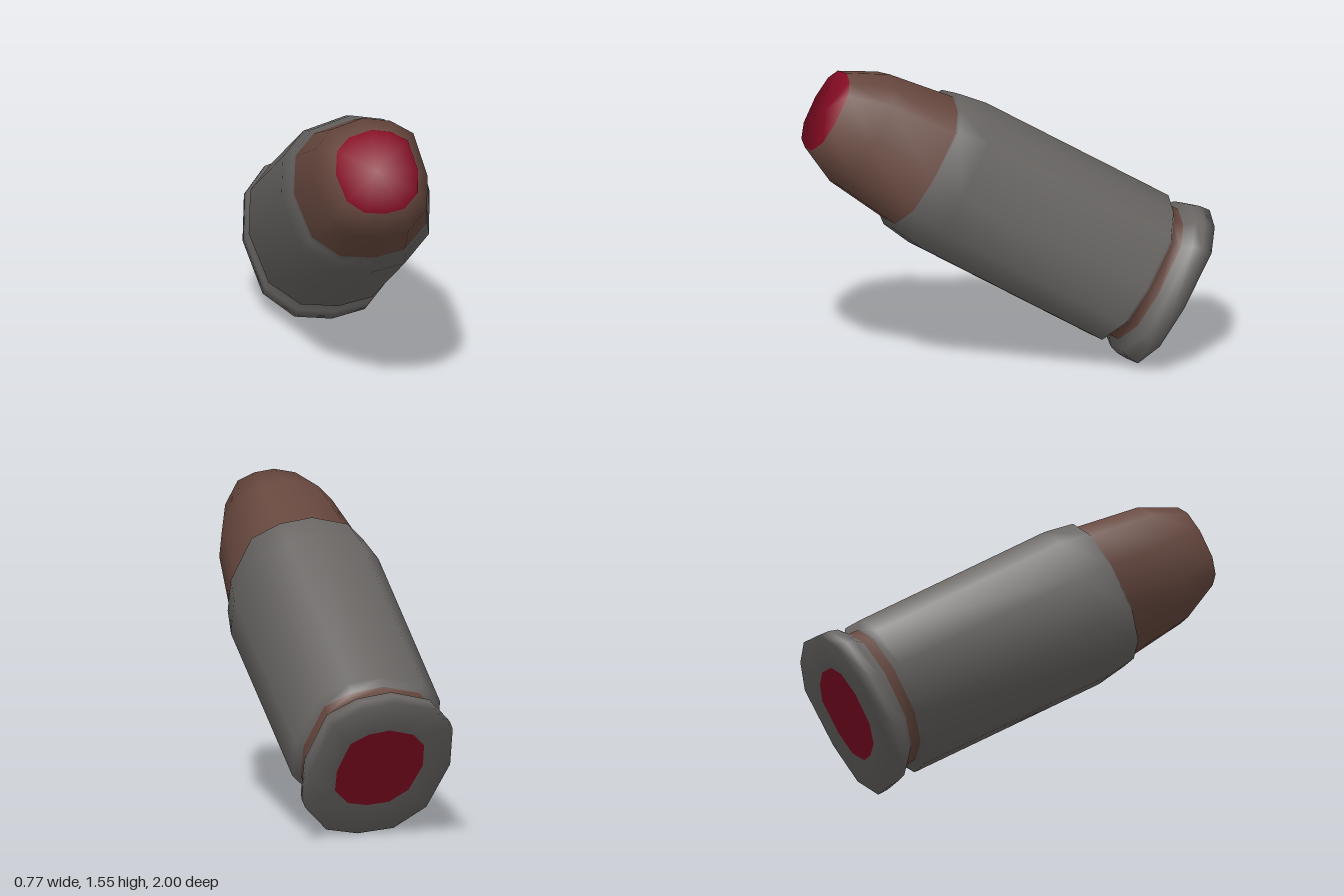
import * as THREE from 'three';

// Slightly irregular twelve-sided outline, counter-clockwise seen from the tip
const OUTLINE = [
  [0.357, 0], [0.285, 0.29], [0.145, 0.38], [-0.025, 0.407],
  [-0.23, 0.338], [-0.335, 0.21], [-0.356, -0.015], [-0.275, -0.275],
  [-0.128, -0.393], [0.052, -0.41], [0.215, -0.37], [0.342, -0.222],
];

// Rings along the axis: [distance, x scale, y scale]
const RINGS = [
  [0, 0, 0], [0, 0.61, 0.57],                                           // primer
  [0, 1, 1], [0.055, 1.01, 0.99], [0.1, 0.99, 0.955], [0.142, 0.92, 0.84], // rim
  [0.195, 0.92, 0.84],                                                  // groove
  [0.222, 1.01, 0.935], [1.275, 1.01, 0.935], [1.43, 0.93, 0.88], [1.437, 0.905, 0.82], // casing
  [1.778, 0.77, 0.718], [1.973, 0.56, 0.5],                             // bullet
  [1.973, 0, 0],                                                        // nose cap
];

// Triangles joining ring "from" up to ring "to"
function bandIndex(from, to) {
  const n = OUTLINE.length, index = [];
  for (let k = from; k < to; k++) {
    for (let i = 0; i < n; i++) {
      const j = (i + 1) % n;
      const a = k * n + i, b = k * n + j, c = b + n, d = a + n;
      index.push(a, b, c, a, c, d);
    }
  }
  return index;
}

// The whole skin, which gives every part its smoothly blended normals
function buildSkin() {
  const pos = [];
  for (const [s, sx, sy] of RINGS) {
    for (const [x, y] of OUTLINE) pos.push(x * sx, y * sy, s);
  }
  const g = new THREE.BufferGeometry();
  g.setAttribute('position', new THREE.Float32BufferAttribute(pos, 3));
  g.setIndex(bandIndex(0, RINGS.length - 1));
  g.computeVertexNormals();
  return g;
}

export function createModel() {
  const mat = (name, color) => {
    const m = new THREE.MeshStandardMaterial({ color });
    m.name = name;
    return m;
  };
  const grey = mat('casing grey', 0x686563);
  const brown = mat('copper brown', 0x66473e);
  const red = mat('dark red', 0x840b23);

  const group = new THREE.Group();
  group.name = 'cartridge';

  // Each part is a run of rings cut from the shared skin
  const skin = buildSkin();
  const add = (name, from, to, material) => {
    const g = new THREE.BufferGeometry();
    g.setAttribute('position', skin.getAttribute('position'));
    g.setAttribute('normal', skin.getAttribute('normal'));
    g.setIndex(bandIndex(from, to));
    const mesh = new THREE.Mesh(g, material);
    mesh.name = name;
    group.add(mesh);
  };
  add('primer', 0, 1, red);
  add('rim', 1, 5, grey);
  add('extractorGroove', 5, 6, brown);
  add('casing', 6, 10, grey);
  add('bullet', 10, 12, brown);
  add('noseCap', 12, 13, red);

  // Tilt the axis so the nose points forward and up
  const base = new THREE.Vector3(-0.035, 0.355, -0.79);
  const axis = new THREE.Vector3(0.055, 1.38, 0.895).sub(base).normalize();
  const v = new THREE.Vector3().crossVectors(axis, new THREE.Vector3(1, 0, 0)).normalize();
  const u = new THREE.Vector3().crossVectors(v, axis);
  group.quaternion.setFromRotationMatrix(new THREE.Matrix4().makeBasis(u, v, axis));
  group.position.copy(base);

  const model = new THREE.Group();
  model.name = 'model';
  model.add(group);
  return model;
}
